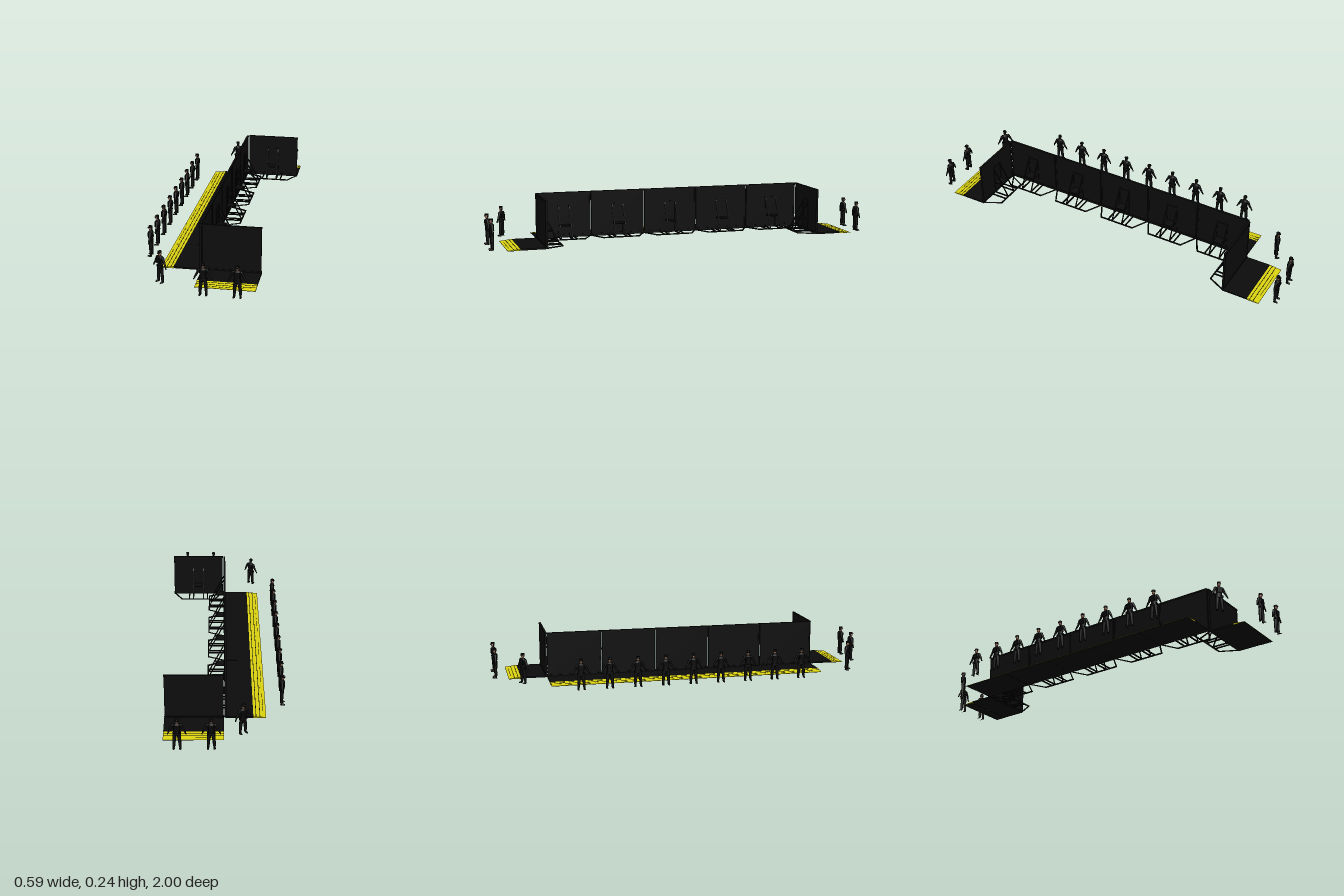
import * as THREE from 'three';

const mat = (name, color) => Object.assign(new THREE.MeshStandardMaterial({ color }), { name });
const steel = mat('blackSteel', 0x0c0c0c);
const yellow = mat('safetyYellow', 0xdcd410);
const cloth = mat('uniformBlack', 0x0e0e0f);
const gear = mat('gearBlack', 0x070707);
const skin = mat('skin', 0x9a6a54);
const badge = mat('badgeGrey', 0x8c8c8c);

function add(parent, name, geometry, material, x = 0, y = 0, z = 0) {
  const m = new THREE.Mesh(geometry, material);
  m.name = name;
  m.position.set(x, y, z);
  parent.add(m);
  return m;
}
const box = (w, h, d) => new THREE.BoxGeometry(w, h, d);
const V = (x, y, z) => new THREE.Vector3(x, y, z);

// A square or round member running between two points
function member(parent, name, a, b, geometry, material) {
  const m = add(parent, name, geometry, material);
  m.position.copy(a).add(b).multiplyScalar(0.5);
  m.quaternion.setFromUnitVectors(V(0, 1, 0), b.clone().sub(a).normalize());
  return m;
}
const bar = (p, name, a, b, t = 0.006) =>
  member(p, name, a, b, box(t, a.distanceTo(b), t), steel);
const limb = (p, name, a, b, rA, rB, material) =>
  member(p, name, a, b, new THREE.CylinderGeometry(rB, rA, a.distanceTo(b), 12), material);

// Side profile (z, y) swept across the panel width
function sweep(points, width) {
  const shape = new THREE.Shape(points.map(([z, y]) => new THREE.Vector2(z, y)));
  const g = new THREE.ExtrudeGeometry(shape, { depth: width, bevelEnabled: false });
  return g.rotateY(-Math.PI / 2).translate(width / 2, 0, 0);
}

// One barrier panel: ramp faces +z, bracing frame lies behind
function createPanel() {
  const g = new THREE.Group();
  const W = 0.287, half = W / 2;

  // Deck and sloping yellow ramp
  add(g, 'deck', box(W, 0.008, 0.135), steel, 0, 0.007, 0.0675);
  add(g, 'ramp', sweep([[0.135, 0.003], [0.197, 0.003], [0.197, 0.004], [0.135, 0.011]], W), yellow);
  add(g, 'rampUnderside', box(W, 0.001, 0.062), steel, 0, 0.0024, 0.166);
  const slope = Math.atan2(0.007, 0.062);
  for (const [z, w, t] of [[0.148, W, 0.003], [0.167, W, 0.003], [0.183, 0.17, 0.002]]) {
    const y = 0.011 - (z - 0.135) * Math.tan(slope);
    add(g, 'rampLine', box(w, 0.0006, t), steel, 0, y + 0.0002, z).rotation.x = slope;
  }

  // Shield wall with edge rails and ribs on the rear
  const w = 0.284;
  add(g, 'wall', box(w, 0.226, 0.006), steel, 0, 0.124, 0.002);
  add(g, 'topRail', box(W, 0.008, 0.011), steel, 0, 0.238, 0.002);
  add(g, 'bottomRail', box(W, 0.008, 0.011), steel, 0, 0.014, 0.002);
  for (const s of [-1, 1]) add(g, 'sideRail', box(0.006, 0.226, 0.01), steel, s * (w / 2 - 0.003), 0.124, 0.002);

  // Ground frame, struts and step behind the wall
  const back = -0.086, y = 0.007;
  bar(g, 'frameBackBar', V(-0.097, y, back), V(0.097, y, back));
  for (const s of [-1, 1]) {
    bar(g, 'frameDiagonal', V(s * (half - 0.004), y, 0), V(s * 0.095, y, back));
    bar(g, 'frameOuterBar', V(s * 0.053, y, 0), V(s * 0.053, y, back));
    bar(g, 'frameInnerBar', V(s * 0.029, y, 0), V(s * 0.029, y, back));
    bar(g, 'wallStrut', V(s * 0.029, 0.165, -0.002), V(s * 0.029, y, -0.083), 0.005);
    bar(g, 'doorPost', V(s * 0.029, 0.012, -0.002), V(s * 0.029, 0.17, -0.002), 0.004);
  }
  bar(g, 'doorHead', V(-0.031, 0.17, -0.002), V(0.031, 0.17, -0.002), 0.004);
  add(g, 'step', box(0.054, 0.005, 0.048), steel, 0, 0.07, -0.025);
  return g;
}

// Standing guard, facing +z
function createGuard() {
  const g = new THREE.Group();

  // Jacket: turned profile flattened front to back
  const profile = [[0, 0.07], [0.0155, 0.07], [0.0165, 0.078], [0.0145, 0.09], [0.0165, 0.105],
    [0.0195, 0.118], [0.0185, 0.126], [0.011, 0.132], [0.006, 0.134], [0, 0.134]];
  const jacket = new THREE.LatheGeometry(profile.map(([x, y]) => new THREE.Vector2(x, y)), 18);
  add(g, 'jacket', jacket.scale(1, 1, 0.66), cloth);
  add(g, 'vest', box(0.026, 0.028, 0.024), gear, 0, 0.111, 0.001);
  const belt = new THREE.CylinderGeometry(0.0168, 0.0168, 0.005, 18).scale(1, 1, 0.72);
  add(g, 'belt', belt, gear, 0, 0.085, 0);

  for (const s of [-1, 1]) {
    // Trousers and boots
    limb(g, 'thigh', V(s * 0.0125, 0.04, 0), V(s * 0.0085, 0.077, 0), 0.0078, 0.0098, cloth);
    limb(g, 'shin', V(s * 0.0145, 0.012, -0.001), V(s * 0.0125, 0.042, 0), 0.0066, 0.0078, cloth);
    limb(g, 'bootShaft', V(s * 0.0145, 0.003, -0.001), V(s * 0.0145, 0.016, -0.001), 0.0055, 0.0055, gear);
    const boot = new THREE.SphereGeometry(1, 12, 8, 0, Math.PI * 2, 0, Math.PI / 2).scale(0.0055, 0.008, 0.0125);
    add(g, 'boot', boot, gear, s * 0.0155, 0, 0.005);
    // Sleeves and gloved hands
    add(g, 'shoulder', new THREE.SphereGeometry(0.0072, 12, 8), cloth, s * 0.0185, 0.123, 0);
    limb(g, 'upperArm', V(s * 0.0305, 0.101, -0.001), V(s * 0.019, 0.124, 0), 0.0055, 0.007, cloth);
    limb(g, 'forearm', V(s * 0.0395, 0.085, 0.002), V(s * 0.03, 0.102, -0.001), 0.0038, 0.0056, cloth);
    const hand = new THREE.SphereGeometry(1, 10, 8).scale(0.0032, 0.0065, 0.0038);
    add(g, 'glove', hand, gear, s * 0.0415, 0.08, 0.0025).rotation.z = s * 0.45;
    add(g, 'pouch', box(0.006, 0.011, 0.011), gear, s * 0.0165, 0.079, 0.001);
  }

  // Head and cap
  limb(g, 'neck', V(0, 0.127, 0), V(0, 0.138, 0.001), 0.0052, 0.005, skin);
  add(g, 'head', new THREE.SphereGeometry(1, 14, 12).scale(0.0074, 0.0105, 0.0088), skin, 0, 0.143, 0.002);
  const hair = new THREE.SphereGeometry(1, 14, 10, Math.PI, Math.PI).scale(0.0079, 0.0098, 0.0088);
  add(g, 'hair', hair, gear, 0, 0.1445, 0.0005).rotation.y = 0;
  add(g, 'nose', box(0.002, 0.0035, 0.002), skin, 0, 0.1425, 0.0108);
  const crown = new THREE.CylinderGeometry(0.0092, 0.0086, 0.008, 16).scale(1, 1, 1.1);
  add(g, 'capCrown', crown, cloth, 0, 0.1525, 0.0015);
  const brim = new THREE.CylinderGeometry(0.0085, 0.0085, 0.001, 16).scale(1, 1, 0.85);
  add(g, 'capBrim', brim, cloth, 0, 0.1485, 0.0085).rotation.x = 0.15;
  add(g, 'capBadge', box(0.003, 0.002, 0.001), badge, 0, 0.153, 0.0112);
  return g;
}

export function createModel() {
  const model = new THREE.Group();
  model.name = 'mobileBarrier';
  const place = (source, name, x, z, yaw) => {
    const c = source.clone();
    c.name = name;
    c.position.set(x, 0, z);
    c.rotation.y = yaw;
    model.add(c);
  };

  // Five panels in a row with one returned at each end
  const panel = createPanel();
  for (let i = -2; i <= 2; i++) place(panel, 'sidePanel', 0, i * 0.288, -Math.PI / 2);
  place(panel, 'frontPanel', 0.15, 0.718, 0);
  place(panel, 'backPanel', 0.15, -0.722, Math.PI);

  // Guards along the row, at both ends and at the corners
  const guard = createGuard();
  for (let i = -4; i <= 4; i++) place(guard, 'sideGuard', -0.278, i * 0.1445, -Math.PI / 2);
  for (const x of [0.062, 0.22]) {
    place(guard, 'frontGuard', x, 0.981, 0);
    place(guard, 'backGuard', x + 0.004, -0.982, Math.PI);
  }
  place(guard, 'frontCornerGuard', -0.162, 0.877, Math.atan2(-0.055, 0.075));
  place(guard, 'backCornerGuard', -0.082, -0.85, Math.atan2(-0.045, -0.075));
  return model;
}
